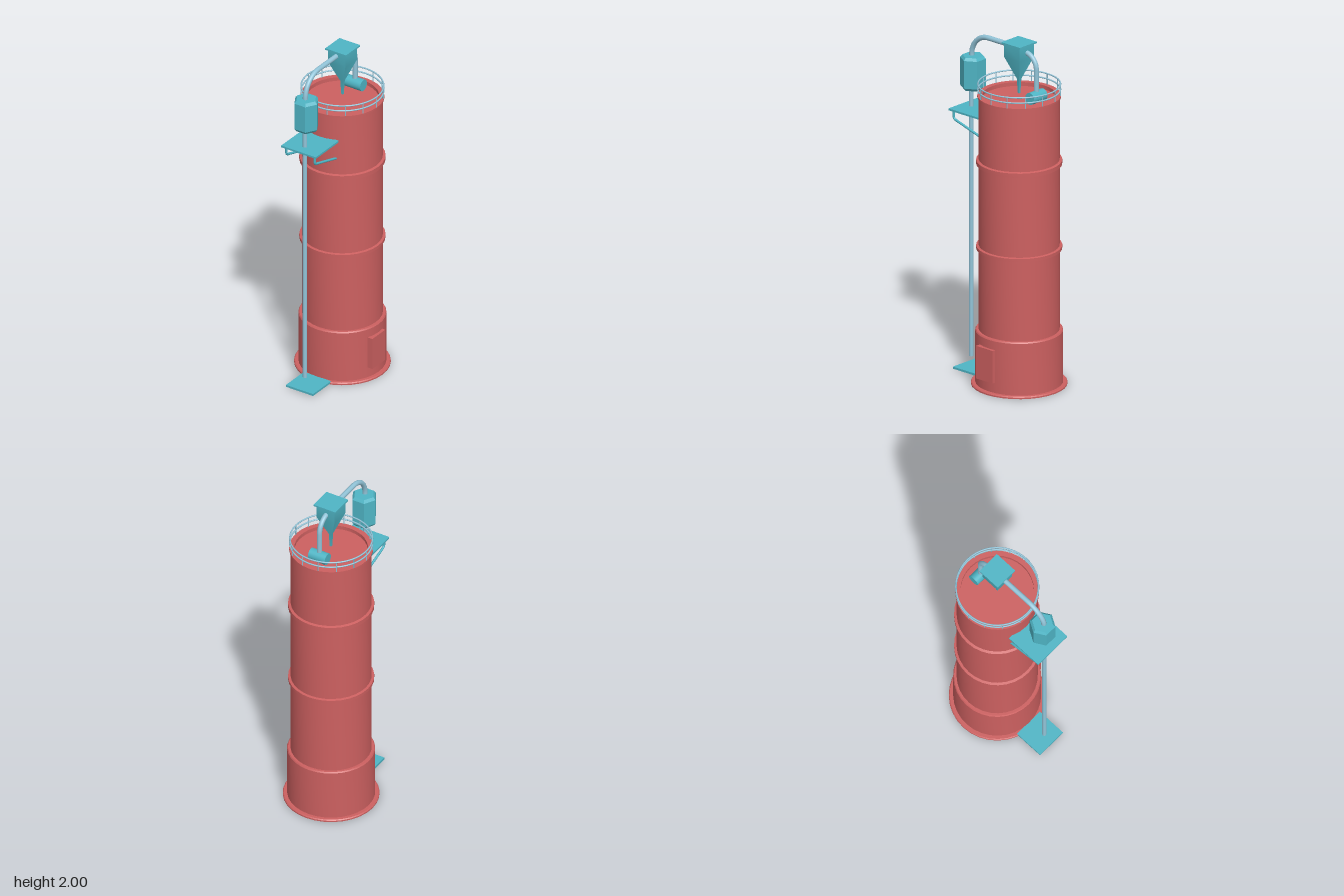
import * as THREE from 'three';
import { toCreasedNormals } from 'three/addons/utils/BufferGeometryUtils.js';

const red = new THREE.MeshStandardMaterial({ color: 0xcc6060 });
const teal = new THREE.MeshStandardMaterial({ color: 0x4fb5c5 });
const blue = new THREE.MeshStandardMaterial({ color: 0x92c4d8 });
const CX = -0.003, CZ = -0.08; // tower axis
const PX = -0.005;             // pipework plane

export function createModel() {
  const model = new THREE.Group();

  const add = (name, geometry, material, x = 0, y = 0, z = 0, parent = model) => {
    const mesh = new THREE.Mesh(geometry, material);
    mesh.name = name;
    mesh.position.set(x, y, z);
    parent.add(mesh);
    return mesh;
  };
  const box = (name, material, x0, x1, y0, y1, z0, z1) =>
    add(name, new THREE.BoxGeometry(x1 - x0, y1 - y0, z1 - z0), material,
      (x0 + x1) / 2, (y0 + y1) / 2, (z0 + z1) / 2);
  // Turned shape from [radius, height] pairs, with sharp creases
  const turned = (profile, sides, start = 0) => toCreasedNormals(
    new THREE.LatheGeometry(profile.map(([r, y]) => new THREE.Vector2(r, y)), sides, start), 0.4);
  // Pipe in the plane of constant x, with rounded corners given by [y, z] pairs
  const pipe = (name, material, x, radius, corners, bend) => {
    const pts = corners.map(([y, z]) => new THREE.Vector3(x, y, z));
    const path = new THREE.CurvePath();
    let from = pts[0];
    for (let i = 1; i < pts.length - 1; i++) {
      const a = pts[i].clone().add(pts[i - 1].clone().sub(pts[i]).setLength(bend));
      const b = pts[i].clone().add(pts[i + 1].clone().sub(pts[i]).setLength(bend));
      const k = 0.55;
      path.add(new THREE.LineCurve3(from, a));
      path.add(new THREE.CubicBezierCurve3(a, a.clone().lerp(pts[i], k), b.clone().lerp(pts[i], k), b));
      from = b;
    }
    path.add(new THREE.LineCurve3(from, pts[pts.length - 1]));
    const m = add(name, new THREE.TubeGeometry(path, 48, radius, 12), material);
    m.material = material.clone();
    m.material.side = THREE.DoubleSide;
    return m;
  };

  // Tower shell: foot flange, wide base, banded body, recessed roof
  add('tower', turned([
    [0, 0], [0.267, 0], [0.267, 0.008], [0.262, 0.013], [0.243, 0.013],
    [0.243, 0.315], [0.238, 0.322], [0.224, 0.322],
    [0.224, 0.79], [0.238, 0.793], [0.238, 0.811], [0.224, 0.814],
    [0.224, 1.284], [0.238, 1.288], [0.238, 1.312], [0.224, 1.316],
    [0.224, 1.68], [0.232, 1.68], [0.232, 1.69], [0.203, 1.69],
    [0.203, 1.668], [0, 1.668],
  ], 32), red, CX, 0, CZ);
  box('door', red, 0.22, 0.256, 0.074, 0.265, -0.12, 0.005);

  // Roof railing
  const railing = new THREE.Group();
  railing.name = 'railing';
  railing.position.set(CX, 0, CZ);
  model.add(railing);
  for (const y of [1.722, 1.753]) {
    const rail = add('rail', new THREE.TorusGeometry(0.228, 0.0045, 8, 48), blue, 0, y, 0, railing);
    rail.rotation.x = Math.PI / 2;
  }
  const post = new THREE.CylinderGeometry(0.003, 0.003, 0.066, 6);
  for (let i = 0; i < 14; i++) {
    const a = (i + 0.5) / 14 * Math.PI * 2;
    add('railPost', post, blue, 0.228 * Math.sin(a), 1.72, 0.228 * Math.cos(a), railing);
  }

  // Riser pipe, hexagonal chamber and transfer pipe
  add('riserPipe', new THREE.CylinderGeometry(0.0125, 0.0125, 1.6, 16), blue, PX, 0.87, 0.282);
  add('hexChamber', turned([
    [0, 1.642], [0.06, 1.642], [0.073, 1.658], [0.073, 1.82], [0.06, 1.836], [0, 1.836],
  ], 6, Math.PI / 6), teal, PX, 0, 0.269);
  pipe('transferPipe', blue, PX, 0.0145, [[1.82, 0.278], [1.965, 0.278], [1.965, -0.04]], 0.125);

  // Square cyclone hopper with lid, funnel and spout
  box('cycloneLid', teal, -0.071, 0.068, 1.991, 2, -0.15, -0.011);
  const d = Math.SQRT2;
  add('cyclone', turned([
    [0, 1.7], [0.005 * d, 1.7], [0.009 * d, 1.785], [0.058 * d, 1.912], [0.058 * d, 1.992], [0, 1.992],
  ], 4, Math.PI / 4), teal, -0.002, 0, -0.08);

  // Blower and its outlet pipe
  pipe('outletPipe', blue, PX, 0.0145, [[1.95, -0.1], [1.95, -0.207], [1.72, -0.207]], 0.085);
  const blower = add('blower', new THREE.CylinderGeometry(0.034, 0.034, 0.108, 24), teal, -0.004, 1.71, -0.208);
  blower.rotation.z = Math.PI / 2;

  // Service platform with two brackets, and the ground pad
  box('platform', teal, -0.12, 0.111, 1.524, 1.535, 0.122, 0.346);
  for (const x of [-0.099, 0.09]) {
    pipe('bracket', teal, x, 0.007, [[1.526, 0.325], [1.475, 0.325], [1.412, 0.11]], 0.012);
  }
  box('groundPad', teal, -0.095, 0.086, 0.004, 0.016, 0.16, 0.336);

  return model;
}
